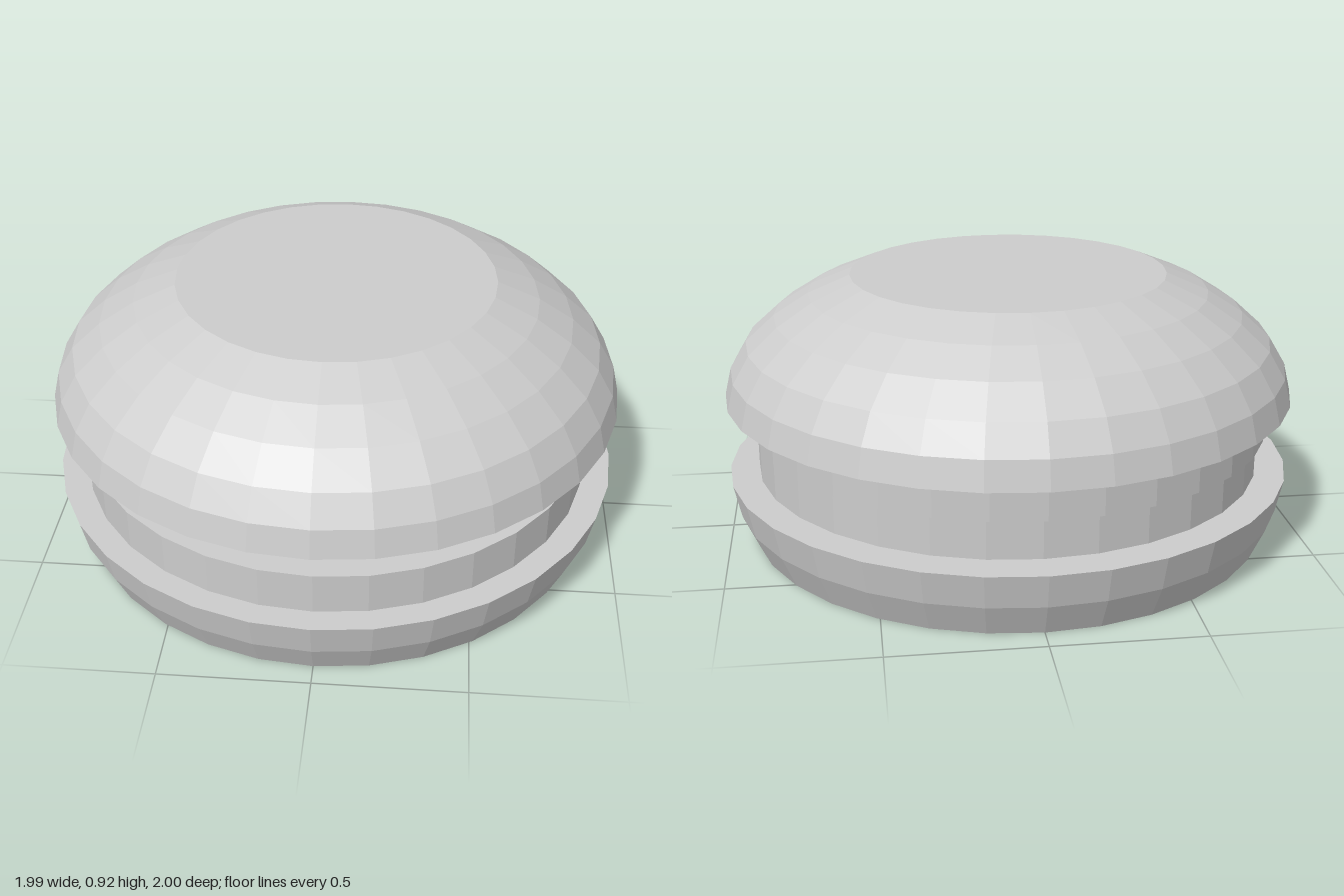
import * as THREE from 'three';

export function createModel() {
  const group = new THREE.Group();
  const grey = new THREE.MeshStandardMaterial({ color: 0xcccccc, flatShading: true });
  grey.name = 'light grey';

  // Closed faceted solid of revolution; profile rows are [radius, height] from bottom to top
  function addLayer(name, profile, x, z) {
    const rows = [[0, profile[0][1]], ...profile, [0, profile[profile.length - 1][1]]];
    const points = rows.map(([r, y]) => new THREE.Vector2(r, y));
    const mesh = new THREE.Mesh(new THREE.LatheGeometry(points, 32), grey);
    mesh.name = name;
    mesh.position.set(x, 0, z);
    group.add(mesh);
  }

  // Base with tapered underside
  addLayer('bottomBun', [[0.92, 0], [0.97, 0.113], [0.995, 0.23]], 0, 0.005);

  // Two discs, slightly off centre, with a thin gap between them
  addLayer('lowerPatty', [[0.895, 0.23], [0.895, 0.375]], 0, 0.022);
  addLayer('upperPatty', [[0.895, 0.388], [0.895, 0.506]], -0.003, -0.048);

  // Domed lid with a flat top
  addLayer('topBun', [
    [0.995, 0.506], [0.972, 0.6], [0.915, 0.695],
    [0.815, 0.785], [0.695, 0.86], [0.55, 0.92],
  ], 0, -0.005);

  return group;
}
